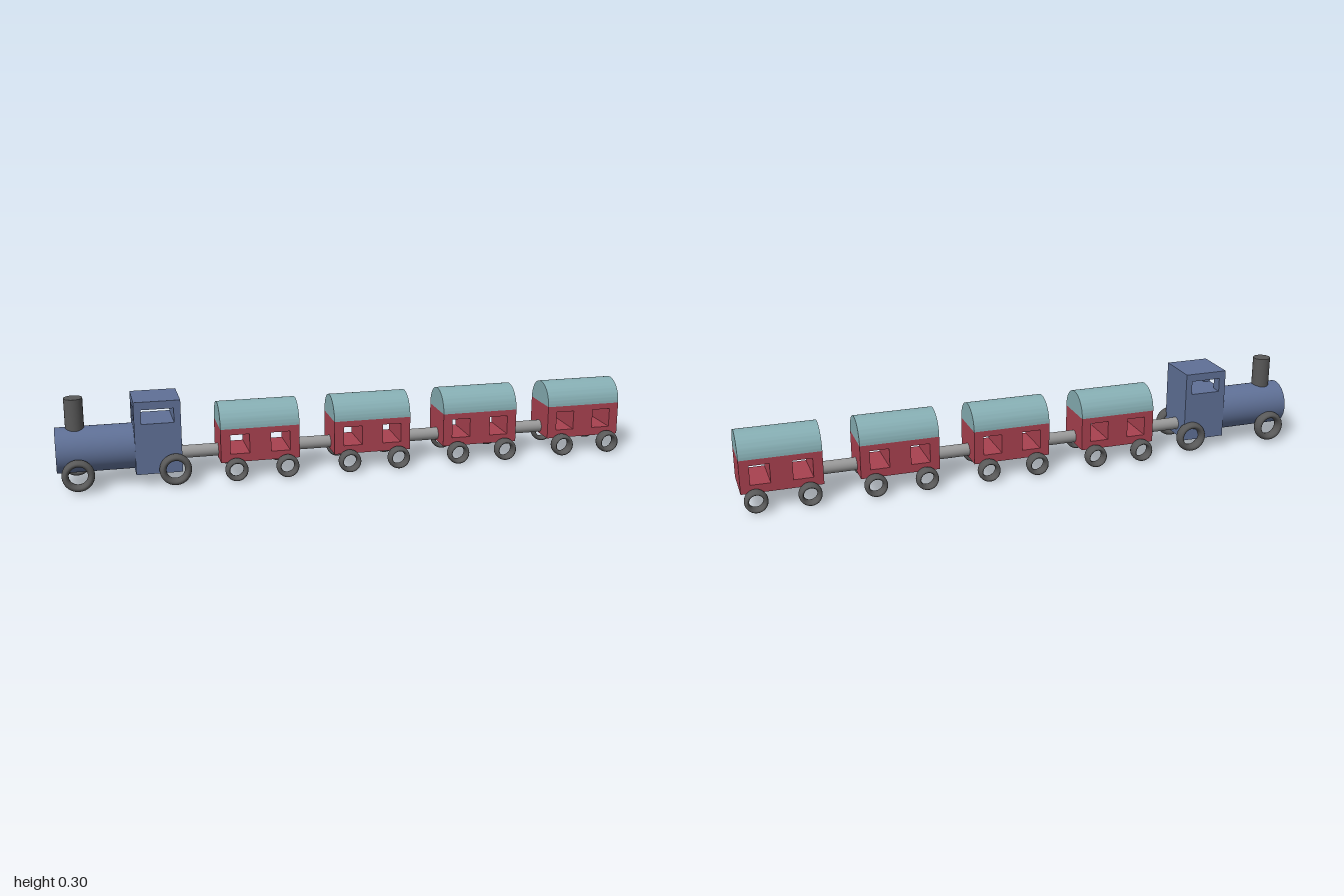
import * as THREE from 'three';
import { toCreasedNormals } from 'three/addons/utils/BufferGeometryUtils.js';

const paint = (color) => new THREE.MeshStandardMaterial({ color });
const BLUE = paint(0x5f7096), RED = paint(0xa8414f), TEAL = paint(0x86aeb3);
const DARK = paint(0x585858), STEEL = paint(0x999999);

function add(parent, name, geometry, material, x = 0, y = 0, z = 0) {
  const mesh = new THREE.Mesh(geometry, material);
  mesh.name = name;
  mesh.position.set(x, y, z);
  parent.add(mesh);
  return mesh;
}

// Box given by its minimum and maximum corners
function block(parent, name, material, [x0, y0, z0], [x1, y1, z1]) {
  const geometry = new THREE.BoxGeometry(x1 - x0, y1 - y0, z1 - z0);
  return add(parent, name, geometry, material, (x0 + x1) / 2, (y0 + y1) / 2, (z0 + z1) / 2);
}

// Open ring wheel, widened along its axle
function wheel(parent, name, outer, inner, width, x, y, z) {
  const tube = (outer - inner) / 2;
  const geometry = new THREE.TorusGeometry((outer + inner) / 2, tube, 20, 48);
  geometry.scale(1, 1, width / (2 * tube));
  geometry.computeVertexNormals();
  add(parent, name, geometry, DARK, x, y, z);
}

function rectHole(x0, y0, x1, y1) {
  const hole = new THREE.Path();
  hole.moveTo(x0, y0).lineTo(x0, y1).lineTo(x1, y1).lineTo(x1, y0).closePath();
  return hole;
}

function createLocomotive() {
  const loco = new THREE.Group();
  loco.name = 'locomotive';
  const zc = 0.008, x0 = -0.743, x1 = -0.588, z0 = zc - 0.078, z1 = zc + 0.078;

  const boiler = new THREE.CylinderGeometry(0.077, 0.077, 0.262, 48).rotateZ(Math.PI / 2);
  add(loco, 'boiler', boiler, BLUE, -0.869, 0.124, zc);
  add(loco, 'chimney', new THREE.CylinderGeometry(0.031, 0.031, 0.122, 40), DARK, -0.933, 0.241, zc);

  // Cab, open at both sides and at the front between base and roof
  const cab = new THREE.Group();
  cab.name = 'cab';
  loco.add(cab);
  const sill = 0.217, head = 0.266;
  block(cab, 'cabBase', BLUE, [x0, 0.043, z0], [x1, sill, z1]);
  block(cab, 'cabRoof', BLUE, [x0, head, z0], [x1, 0.293, z1]);
  block(cab, 'cabBackWall', BLUE, [-0.611, sill, z0], [x1, head, z1]);
  block(cab, 'cabFrontPostRight', BLUE, [x0, sill, z0], [-0.719, head, zc - 0.038]);
  block(cab, 'cabFrontPostLeft', BLUE, [x0, sill, zc + 0.038], [-0.719, head, z1]);

  for (const z of [-0.074, 0.099]) {
    wheel(loco, 'locomotiveFrontWheel', 0.054, 0.031, 0.04, -0.932, 0.06, z);
    wheel(loco, 'locomotiveRearWheel', 0.054, 0.031, 0.04, -0.613, 0.057, z);
  }
  return loco;
}

function createCarriage(length) {
  const carriage = new THREE.Group();
  carriage.name = 'carriage';
  const half = length / 2, r = 0.078, floor = 0.06, eaves = 0.177;

  // Body with two window openings running right through
  const side = new THREE.Shape();
  side.moveTo(-half, floor).lineTo(half, floor).lineTo(half, eaves).lineTo(-half, eaves).closePath();
  for (const x of [-0.07, 0.07]) side.holes.push(rectHole(x - 0.033, 0.089, x + 0.033, 0.156));
  const body = new THREE.ExtrudeGeometry(side, { depth: 2 * r, bevelEnabled: false });
  add(carriage, 'carriageBody', body, RED, 0, 0, -r);

  // Barrel roof
  const arch = new THREE.Shape();
  arch.absarc(0, 0, r, 0, Math.PI, false);
  arch.closePath();
  const roof = new THREE.ExtrudeGeometry(arch, { depth: length, bevelEnabled: false, curveSegments: 32 });
  roof.rotateY(Math.PI / 2);
  add(carriage, 'carriageRoof', toCreasedNormals(roof, 0.5), TEAL, -half, eaves, 0);

  for (const x of [-0.086, 0.09])
    for (const z of [-0.096, 0.097]) wheel(carriage, 'carriageWheel', 0.039, 0.023, 0.041, x, 0.039, z);
  return carriage;
}

export function createModel() {
  const train = new THREE.Group();
  train.name = 'train';
  train.add(createLocomotive());

  const length = 0.272, pitch = 0.395;
  for (let i = 0; i < 4; i++) {
    const x = -0.321 + i * pitch;
    const carriage = createCarriage(length);
    carriage.position.x = x;
    train.add(carriage);

    // Coupling rod to the vehicle ahead
    const end = x - length / 2;
    const start = i === 0 ? -0.588 : end - (pitch - length);
    const rod = new THREE.CylinderGeometry(0.022, 0.022, end - start + 0.004, 32).rotateZ(Math.PI / 2);
    add(train, 'coupling', rod, STEEL, (start + end) / 2, 0.086, 0);
  }
  return train;
}
